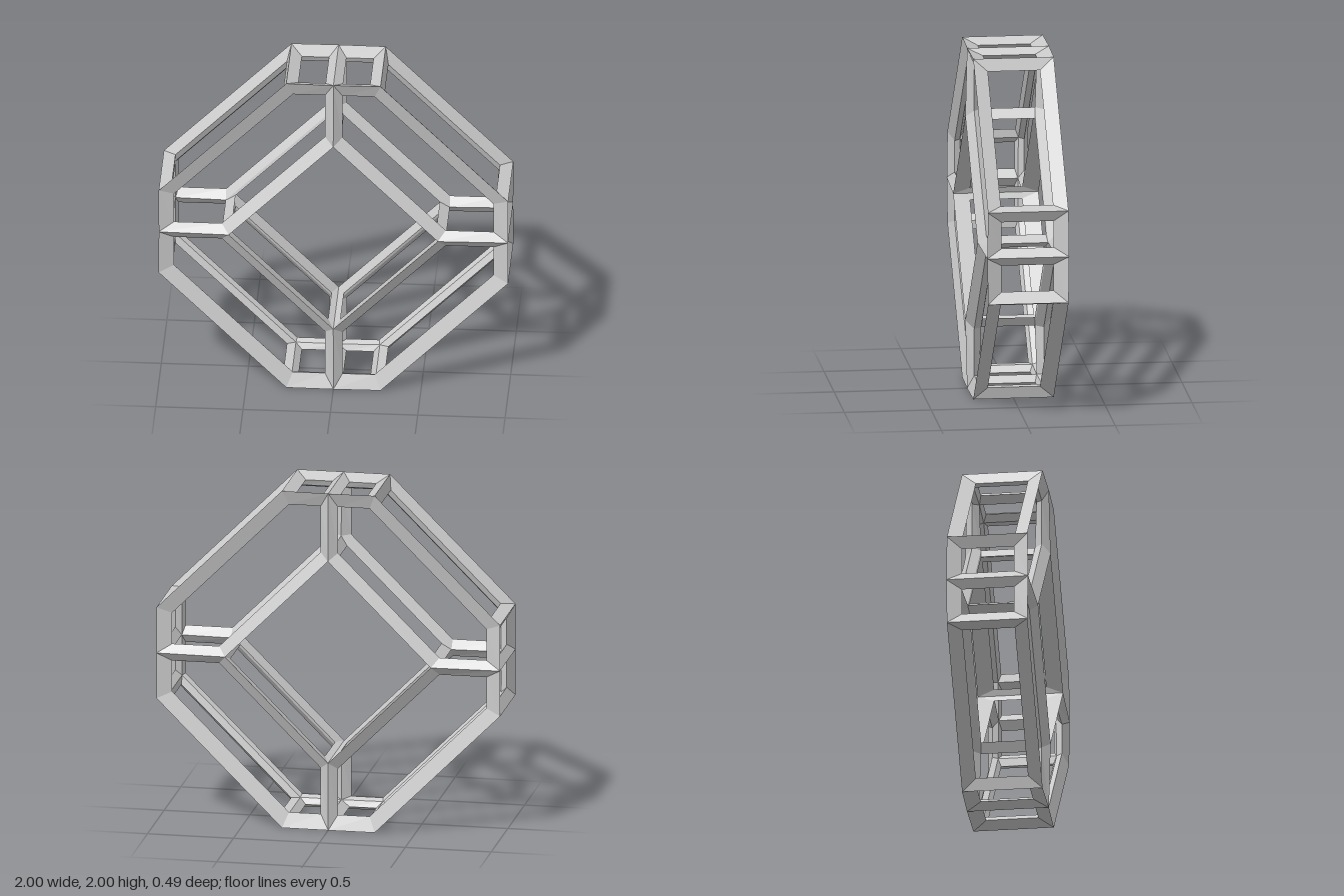
import * as THREE from 'three';

const T = 0.05;             // strut half thickness
const R = 0.964, C = 0.255; // octagon half width and half length of its short sides
const HOLE = 0.62, Z = 0.2; // corner radius of the square hole, half depth

// Base cage points: a 12-point rim and a 4-point hole, each at front and back
function buildCage() {
  const points = [];
  const add = (x, y, z) => points.push(new THREE.Vector3(x, y, z)) - 1;
  const rim = [[], []], hole = [[], []];
  [Z, -Z].forEach((z, s) => {
    for (let q = 0; q < 4; q++) {
      const c = Math.round(Math.cos(q * Math.PI / 2)), n = Math.round(Math.sin(q * Math.PI / 2));
      for (const [x, y] of [[R, 0], [R, C], [C, R]]) rim[s].push(add(c * x - n * y, n * x + c * y, z));
      hole[s].push(add(c * HOLE, n * HOLE, z));
    }
  });

  // Panels between the struts, counter-clockwise from outside
  const panels = { frontFrame: [], backFrame: [], outerRim: [], innerRim: [] };
  for (let q = 0; q < 4; q++) {
    const k = (q + 1) % 4;
    const hex = s => [hole[s][q], ...[0, 1, 2, 3].map(j => rim[s][(3 * q + j) % 12]), hole[s][k]];
    panels.frontFrame.push(hex(0));
    panels.backFrame.push(hex(1).reverse());
    panels.innerRim.push([hole[0][q], hole[0][k], hole[1][k], hole[1][q]]);
  }
  for (let i = 0; i < 12; i++) {
    const k = (i + 1) % 12;
    panels.outerRim.push([rim[0][i], rim[1][i], rim[1][k], rim[0][k]]);
  }
  return { points, panels };
}

// Panel normal and mitred inset corners; also adds angle-weighted vertex normals
function insetPanel(loop, points, normals) {
  const p = loop.map(i => points[i]), n = p.length;
  const dir = p.map((v, i) => p[(i + 1) % n].clone().sub(v).normalize());
  const normal = dir[0].clone().cross(dir[1]).normalize();
  return p.map((v, i) => {
    const before = dir[(i + n - 1) % n], after = dir[i];
    normals[loop[i]].addScaledVector(normal, Math.PI - before.angleTo(after));
    const m1 = normal.clone().cross(before), m2 = normal.clone().cross(after);
    const k = T / (1 + m1.dot(m2));
    return v.clone().addScaledVector(m1.add(m2), k);
  });
}

export function createModel() {
  const group = new THREE.Group();
  group.name = 'octagonalLatticeRing';
  const material = new THREE.MeshStandardMaterial({ color: 0xcccccc, flatShading: true });
  const { points, panels } = buildCage();
  const normals = points.map(() => new THREE.Vector3());
  const insets = {};
  for (const name in panels) insets[name] = panels[name].map(l => insetPanel(l, points, normals));
  normals.forEach(n => n.normalize());
  const ridge = points.map((p, i) => p.clone().addScaledVector(normals[i], T));
  const keel = points.map((p, i) => p.clone().addScaledVector(normals[i], -T));

  // Every panel edge carries two strut sides: ridge to inset and inset to keel
  for (const name in panels) {
    const pos = [];
    const quad = (a, b, c, d) => [a, b, c, a, c, d].forEach(v => pos.push(v.x, v.y, v.z));
    panels[name].forEach((loop, f) => loop.forEach((a, i) => {
      const j = (i + 1) % loop.length, b = loop[j];
      const ia = insets[name][f][i], ib = insets[name][f][j];
      quad(ridge[a], ridge[b], ib, ia);
      quad(keel[b], keel[a], ia, ib);
    }));
    const geometry = new THREE.BufferGeometry();
    geometry.setAttribute('position', new THREE.Float32BufferAttribute(pos, 3));
    geometry.computeVertexNormals();
    const mesh = new THREE.Mesh(geometry, material);
    mesh.name = name;
    mesh.position.y = 1;
    group.add(mesh);
  }
  return group;
}
